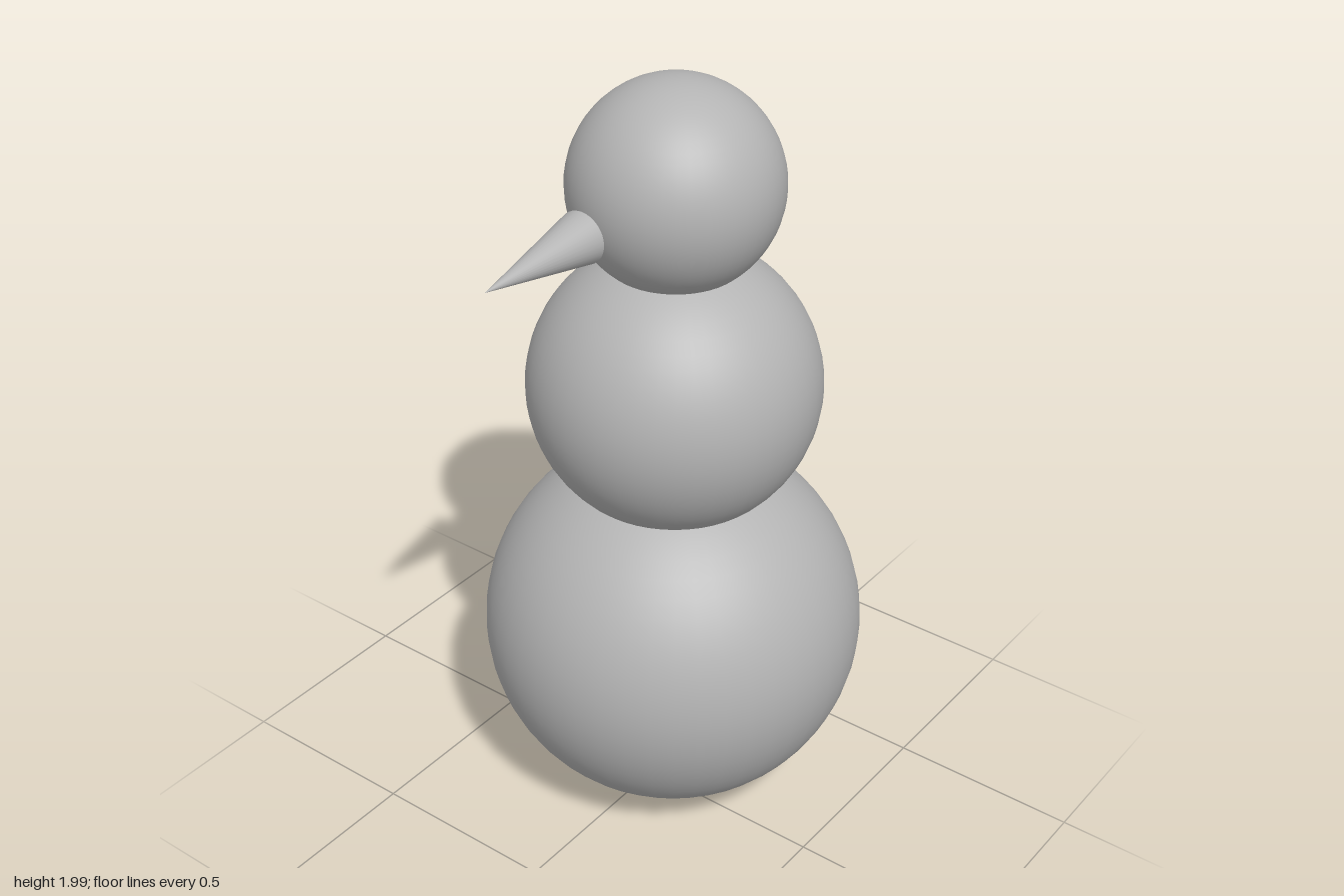
import * as THREE from 'three';

export function createModel() {
  const model = new THREE.Group();
  model.name = 'snowman';

  const grey = new THREE.MeshStandardMaterial({ color: 0xb4b4b4 });
  grey.name = 'plain grey';

  const bodyZ = -0.092;

  // Three stacked snowballs: name, radius, centre height
  const balls = [
    ['lowerBody', 0.493, 0.499],
    ['upperBody', 0.369, 1.202],
    ['head', 0.262, 1.738],
  ];
  for (const [name, radius, y] of balls) {
    const ball = new THREE.Mesh(new THREE.SphereGeometry(radius, 48, 32), grey);
    ball.name = name;
    ball.position.set(0, y, bodyZ);
    model.add(ball);
  }

  // Carrot nose floating just ahead of the face, tip towards +z
  const noseBack = 0.258, noseTip = 0.585;
  const noseGeometry = new THREE.ConeGeometry(0.064, noseTip - noseBack, 32);
  noseGeometry.rotateX(Math.PI / 2);
  const nose = new THREE.Mesh(noseGeometry, grey);
  nose.name = 'nose';
  nose.position.set(0, 1.738, (noseBack + noseTip) / 2);
  model.add(nose);

  return model;
}
